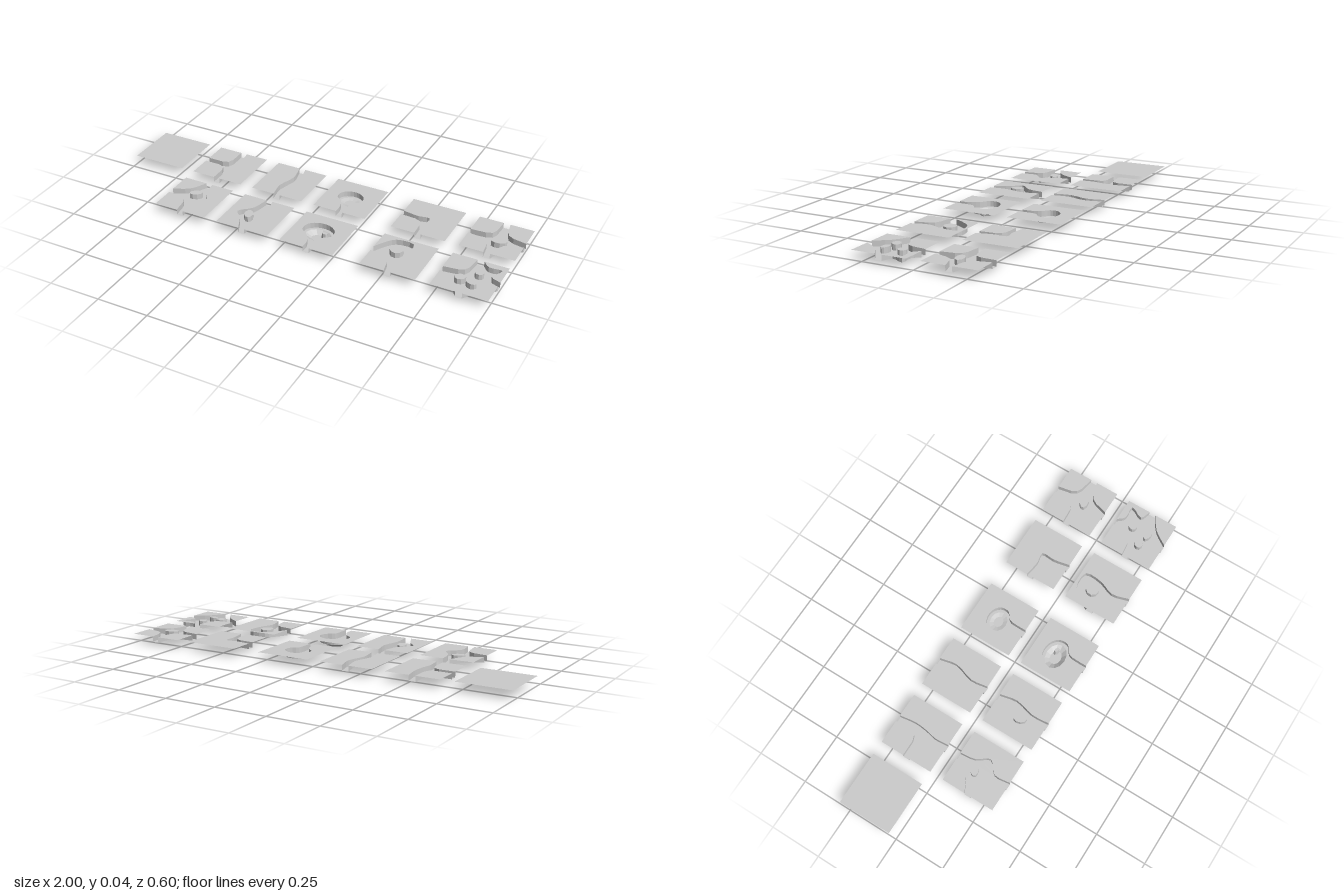
import * as THREE from 'three';

const U = 0.2667 / 50;            // tile-local unit: each tile runs from -25 to 25
const TOP = 0.044, BED = 0.017;   // ground level and river bed level
const columns = [-0.867, -0.533, -0.2, 0.133, 0.533, 0.867];
const corners = [[-25, -25], [25, -25], [25, 25], [-25, 25]];
const mat = new THREE.MeshStandardMaterial({ color: 0xcccccc, flatShading: true, side: THREE.DoubleSide });

// Quarter turns of a point, clockwise seen from above
const turned = ([x, z], k) => k === 0 ? [x, z] : turned([-z, x], k - 1);

// Bank running clockwise from one tile edge to another (0 back, 1 right, 2 front, 3 left)
function bank(from, to, ...mids) {
  const knots = [turned([3, -25], from), ...mids, turned([-3, -25], to)];
  const curve = new THREE.CatmullRomCurve3(knots.map(([x, z]) => new THREE.Vector3(x, 0, z)));
  const line = curve.getPoints((knots.length - 1) * 3).map(p => [p.x, p.z]);
  // Land lies behind the bank and closes through the tile corners
  const land = [...line];
  let i = to;
  do {
    land.push(corners[i]);
    i = (i + 3) % 4;
  } while (i !== from);
  return { line, land };
}

// Bank between neighbouring edges, rounded at distance b from the middle
const bend = (k, b) => bank(k, (k + 1) % 4, turned([b, -b], k));

// Round pond shore with one outlet at the front
function shore(cx, cz, rx, rz) {
  const arc = Array.from({ length: 8 }, (_, i) => {
    const a = (115 + i * 310 / 7) * Math.PI / 180;
    return [cx + Math.cos(a) * rx, cz + Math.sin(a) * rz];
  });
  return bank(2, 2, [-3, 17], ...arc, [3, 17]);
}

// Oval loop, counter-clockwise seen from above
function oval([cx, cz, rx, rz, turn = 0], scale = 1, n = 9) {
  return Array.from({ length: n }, (_, i) => {
    const a = -i / n * Math.PI * 2;
    const x = Math.cos(a) * rx * scale, z = Math.sin(a) * rz * scale;
    return [cx + x * Math.cos(turn) - z * Math.sin(turn), cz + x * Math.sin(turn) + z * Math.cos(turn)];
  });
}

// Flat sheet with optional holes
function sheet(name, loop, y, holes = []) {
  const pts = l => l.map(([x, z]) => new THREE.Vector2(x * U, -z * U));
  const shape = new THREE.Shape(pts(loop));
  shape.holes = holes.map(h => new THREE.Path(pts(h)));
  const geo = new THREE.ShapeGeometry(shape).rotateX(-Math.PI / 2).translate(0, y, 0);
  const mesh = new THREE.Mesh(geo, mat);
  mesh.name = name;
  return mesh;
}

// Strip of quads between an upper and a lower line
function wall(name, upper, yUp, lower, yLow, closed = false) {
  const pos = [], n = upper.length;
  const put = ([x, z], y) => pos.push(x * U, y, z * U);
  for (let i = 0; i < (closed ? n : n - 1); i++) {
    const j = (i + 1) % n;
    put(lower[i], yLow); put(lower[j], yLow); put(upper[j], yUp);
    put(lower[i], yLow); put(upper[j], yUp); put(upper[i], yUp);
  }
  const geo = new THREE.BufferGeometry();
  geo.setAttribute('position', new THREE.Float32BufferAttribute(pos, 3));
  geo.computeVertexNormals();
  const mesh = new THREE.Mesh(geo, mat);
  mesh.name = name;
  return mesh;
}

// River tile: banks in clockwise order, islands as [x, z, radiusX, radiusZ, turn]
function riverTile(name, column, row, banks, { islands = [], pit, depth, rock } = {}) {
  const tile = new THREE.Group();
  tile.name = name;
  tile.position.set(columns[column], 0, row * 0.167);
  // Ground and the walls of the channel
  for (const { line, land } of banks) {
    tile.add(sheet('ground', land, TOP), wall('bankWall', line, TOP, line, BED));
  }
  // Islands standing in the channel
  const holes = islands.map(i => oval(i));
  for (const loop of holes) {
    tile.add(sheet('islandTop', loop, TOP), wall('islandWall', loop, TOP, loop, BED, true));
  }
  // Deeper basin of a pond
  if (pit) {
    const rim = oval(pit, 1, 12), base = oval(pit, 0.55, 12);
    holes.push(rim);
    tile.add(sheet('basinFloor', base, depth));
    tile.add(wall('basinSlope', rim.toReversed(), BED, base.toReversed(), depth, true));
  }
  // Small rock on the pond floor
  if (rock) {
    const foot = oval(rock, 1, 7), crest = oval(rock, 0.7, 7);
    tile.add(wall('rockSide', crest, 0.03, foot, depth, true), sheet('rockTop', crest, 0.03));
  }
  tile.add(sheet('riverBed', banks.flatMap(b => b.line), BED, holes));
  return tile;
}

export function createModel() {
  const model = new THREE.Group();
  model.name = 'riverTileSet';

  // Back row
  const plain = sheet('plainTile', corners, TOP);
  plain.position.set(columns[0], 0, -0.167);
  model.add(plain);
  model.add(riverTile('forkTile', 1, -1,
    [bank(0, 2, [5, -10], [4, 2], [2, 12]), bend(2, 5), bend(3, 5)]));
  model.add(riverTile('straightTile', 2, -1,
    [bank(0, 2, [6, -9], [1, 9]), bank(2, 0, [-5, 9], [0, -8])]));
  model.add(riverTile('pondTile', 3, -1,
    [shore(-1, -1, 12, 10)], { pit: [-1, -1, 9.5, 7.5], depth: 0.012 }));
  model.add(riverTile('bendTile', 4, -1,
    [bank(3, 2, [-10, -1], [0, -2], [0, 10]), bend(2, 6)]));
  model.add(riverTile('crossTile', 5, -1,
    [bend(0, 8), bend(1, 9), bend(2, 7), bend(3, 6)], { islands: [[3, 3, 7, 4, -0.2]] }));

  // Front row
  model.add(riverTile('forkIslandTile', 1, 1,
    [bank(0, 2, [5, -11], [12, 0], [2, 10]), bend(2, 7), bend(3, 11)], { islands: [[-3, -7, 6, 3.5, -0.5]] }));
  model.add(riverTile('straightIslandTile', 2, 1,
    [bank(0, 2, [6, -9], [2, 9]), bank(2, 0, [-10, 10], [-17, 2], [-7, -9])], { islands: [[-6, 1.5, 6, 4, 1.2]] }));
  model.add(riverTile('deepPondTile', 3, 1,
    [shore(-2, -3, 14.5, 11.5)], { pit: [-2, -3, 12, 9], depth: 0, rock: [3, -5, 3.5, 2.2, 0.2] }));
  model.add(riverTile('bendIslandTile', 4, 1,
    [bank(3, 2, [-20, -12], [-12, -21], [4, -21], [4, -5], [-1, 9]), bend(2, 8)], { islands: [[-6, -8, 6, 6]] }));
  model.add(riverTile('crossIslandsTile', 5, 1,
    [bank(0, 1, [9, -19], [21, -19], [16, -7]), bend(1, 12), bend(2, 12), bend(3, 7)],
    { islands: [[5, -9, 4, 4], [-7, 4, 5, 4, -0.4], [4, 7, 5, 3, 0.2]] }));
  return model;
}
